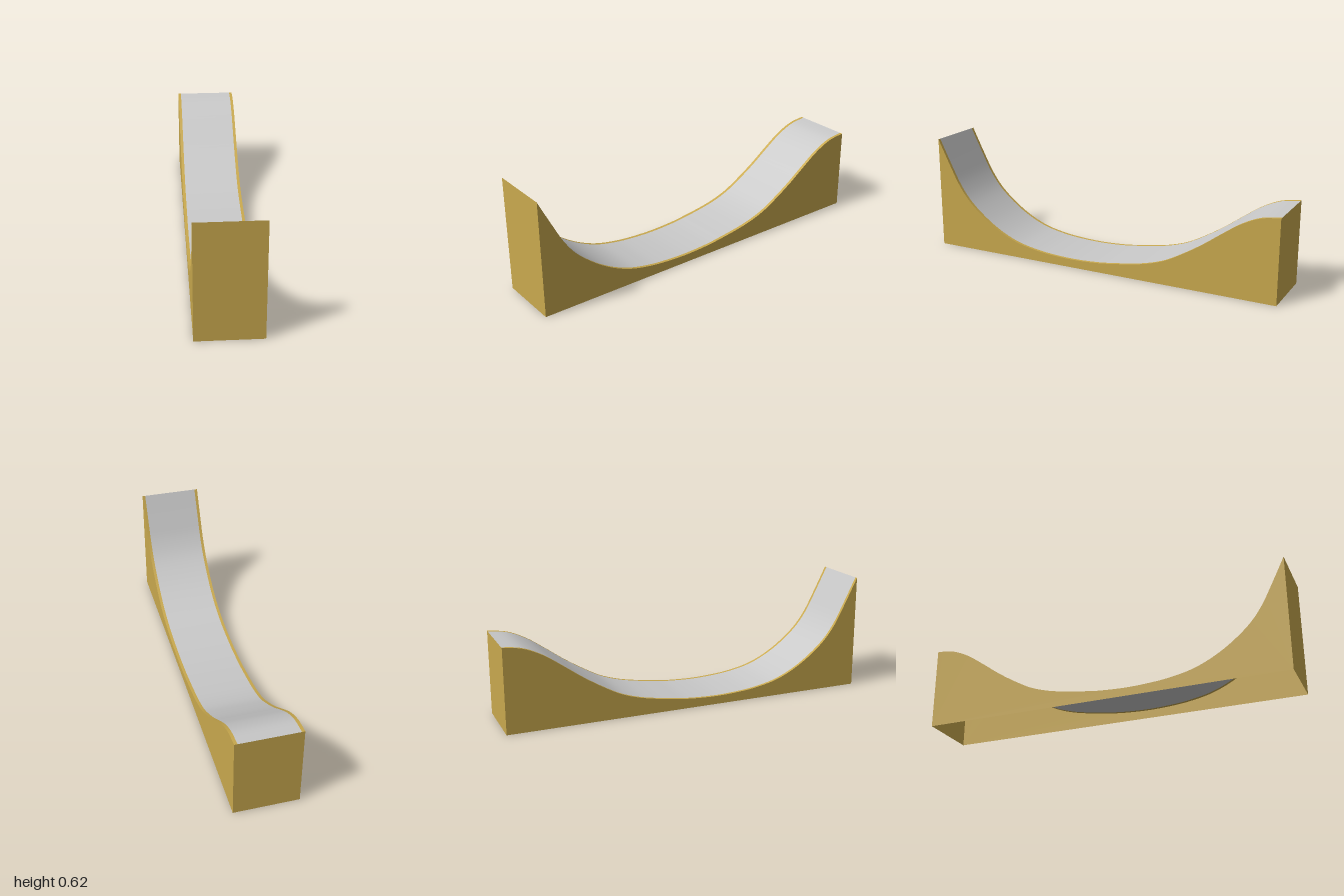
import * as THREE from 'three';

const HALF_WIDTH = 0.168, TRIM = 0.016, FRONT_HEIGHT = 0.62, BACK_HEIGHT = 0.45;

// Side profile of the ramp as (z, y), from back to front
const profile = new THREE.SplineCurve([
  [-1, 0.45], [-0.9, 0.435], [-0.8, 0.39], [-0.7, 0.322], [-0.6, 0.25], [-0.5, 0.187],
  [-0.4, 0.133], [-0.3, 0.099], [-0.2, 0.078], [-0.1, 0.063], [0, 0.051], [0.15, 0.045],
  [0.3, 0.052], [0.4, 0.065], [0.5, 0.088], [0.6, 0.13], [0.7, 0.192], [0.8, 0.277],
  [0.87, 0.368], [0.93, 0.48], [1, FRONT_HEIGHT],
].map(([z, y]) => new THREE.Vector2(z, y))).getPoints(100);

export function createModel() {
  const gold = new THREE.MeshStandardMaterial({ color: 0xc9a94e, side: THREE.DoubleSide });
  gold.name = 'gold panel';
  const grey = new THREE.MeshStandardMaterial({ color: 0xc9c9c9, side: THREE.DoubleSide });
  grey.name = 'light grey deck';

  const model = new THREE.Group();
  model.name = 'curvedRamp';
  const add = (name, geometry, material) => {
    const mesh = new THREE.Mesh(geometry, material);
    mesh.name = name;
    model.add(mesh);
  };

  // Sheet that follows the profile between two x positions
  const sheet = (x0, x1) => {
    const g = new THREE.PlaneGeometry(x1 - x0, 2, 1, profile.length - 1);
    g.rotateX(-Math.PI / 2).translate((x0 + x1) / 2, 0, 0);
    const pos = g.attributes.position;
    for (let i = 0; i < pos.count; i++) {
      const p = profile[Math.floor(i / 2)];
      pos.setY(i, p.y);
      pos.setZ(i, p.x);
    }
    g.computeVertexNormals();
    return g;
  };

  // Curved deck with a thin trim along each edge
  const inner = HALF_WIDTH - TRIM;
  add('deck', sheet(-inner, inner), grey);
  add('leftTrim', sheet(inner, HALF_WIDTH), gold);
  add('rightTrim', sheet(-HALF_WIDTH, -inner), gold);

  // Side walls; the underside stays open
  for (const side of [1, -1]) {
    const outline = [new THREE.Vector2(-1, 0), ...profile, new THREE.Vector2(1, 0)]
      .map((p) => new THREE.Vector2(-side * p.x, p.y));
    const wall = new THREE.ShapeGeometry(new THREE.Shape(outline));
    wall.rotateY(side * Math.PI / 2).translate(side * HALF_WIDTH, 0, 0);
    add(side > 0 ? 'leftWall' : 'rightWall', wall, gold);
  }

  // End walls
  add('frontWall', new THREE.PlaneGeometry(2 * HALF_WIDTH, FRONT_HEIGHT)
    .translate(0, FRONT_HEIGHT / 2, 1), gold);
  add('backWall', new THREE.PlaneGeometry(2 * HALF_WIDTH, BACK_HEIGHT)
    .rotateY(Math.PI).translate(0, BACK_HEIGHT / 2, -1), gold);

  return model;
}
